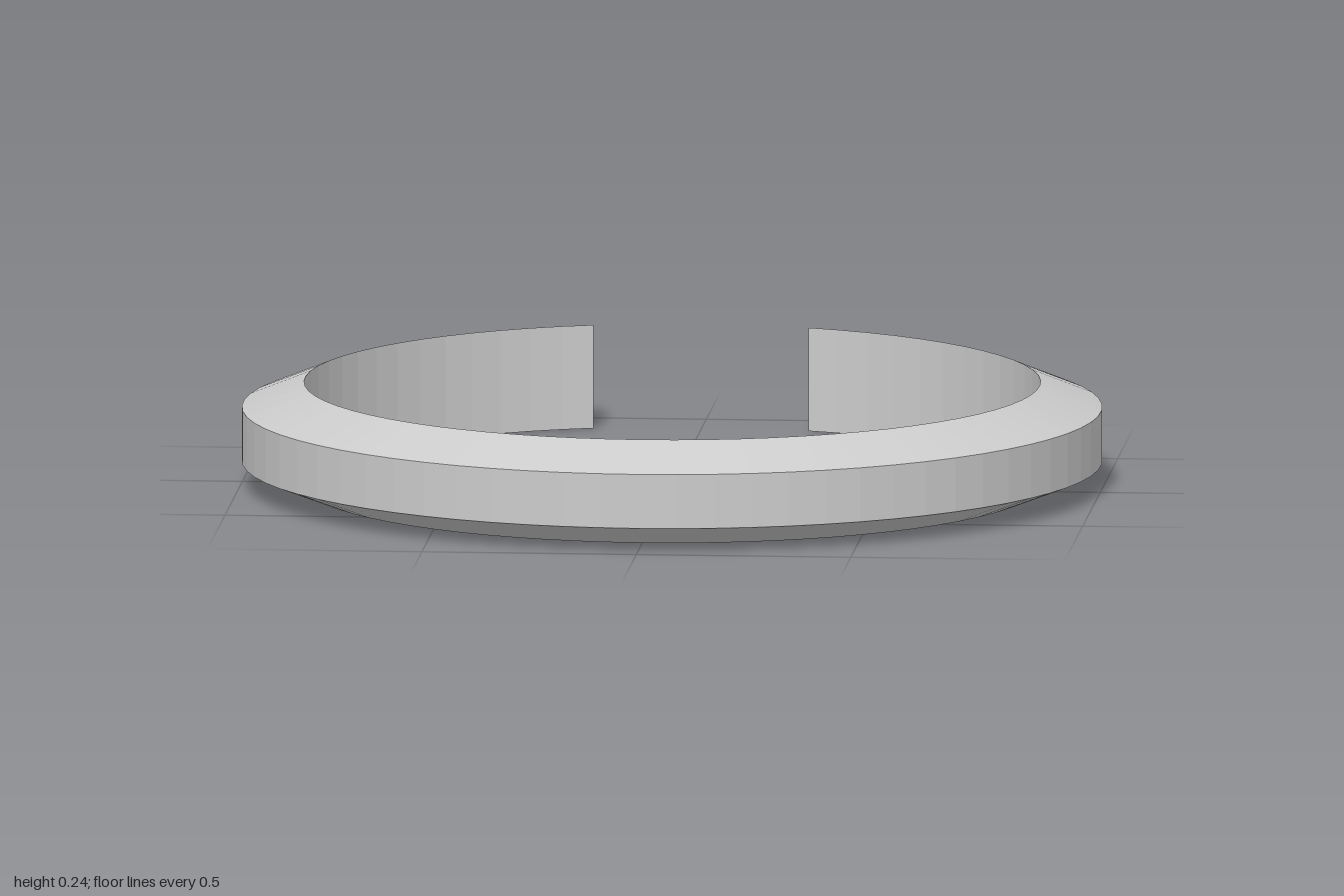
import * as THREE from 'three';

const OUTER = 1, INNER = 0.856;        // radii of the two walls
const CENTRE_Z = -0.022;               // outer circle centre
const INNER_SHIFT = -0.007;            // inner circle sits slightly toward the gap
const HEIGHT = 0.243, EDGE_LOW = 0.058, EDGE_HIGH = 0.185;
const GAP = THREE.MathUtils.degToRad(16.9); // half of the opening angle
const SEGMENTS = 64;

// Four-cornered cross-section at an angle measured from the front (+z)
function section(angle) {
  const s = Math.sin(angle), c = Math.cos(angle);
  const d = INNER_SHIFT;
  const inner = d * c + Math.sqrt(INNER * INNER - d * d * s * s);
  return [[inner, 0], [OUTER, EDGE_LOW], [OUTER, EDGE_HIGH], [inner, HEIGHT]]
    .map(([r, y]) => [r * s, y, CENTRE_Z + r * c]);
}

function splitRingGeometry() {
  const positions = [];
  const quad = (a, b, c, d) => positions.push(...a, ...b, ...c, ...a, ...c, ...d);
  const start = -Math.PI + GAP, sweep = 2 * (Math.PI - GAP);
  const sections = [];
  for (let i = 0; i <= SEGMENTS; i++) sections.push(section(start + sweep * i / SEGMENTS));

  // Walls and bevels
  for (let i = 0; i < SEGMENTS; i++) {
    const p = sections[i], q = sections[i + 1];
    for (let k = 0; k < 4; k++) {
      const n = (k + 1) % 4;
      quad(p[k], q[k], q[n], p[n]);
    }
  }
  // Flat cut ends
  const [a, b] = [sections[0], sections[SEGMENTS]];
  quad(a[0], a[1], a[2], a[3]);
  quad(b[3], b[2], b[1], b[0]);

  const geometry = new THREE.BufferGeometry();
  geometry.setAttribute('position', new THREE.Float32BufferAttribute(positions, 3));
  geometry.computeVertexNormals();
  return geometry;
}

export function createModel() {
  const group = new THREE.Group();
  group.name = 'snapRing';
  const material = new THREE.MeshStandardMaterial({ color: 0xcccccc, flatShading: true });
  const ring = new THREE.Mesh(splitRingGeometry(), material);
  ring.name = 'splitRing';
  group.add(ring);
  return group;
}
